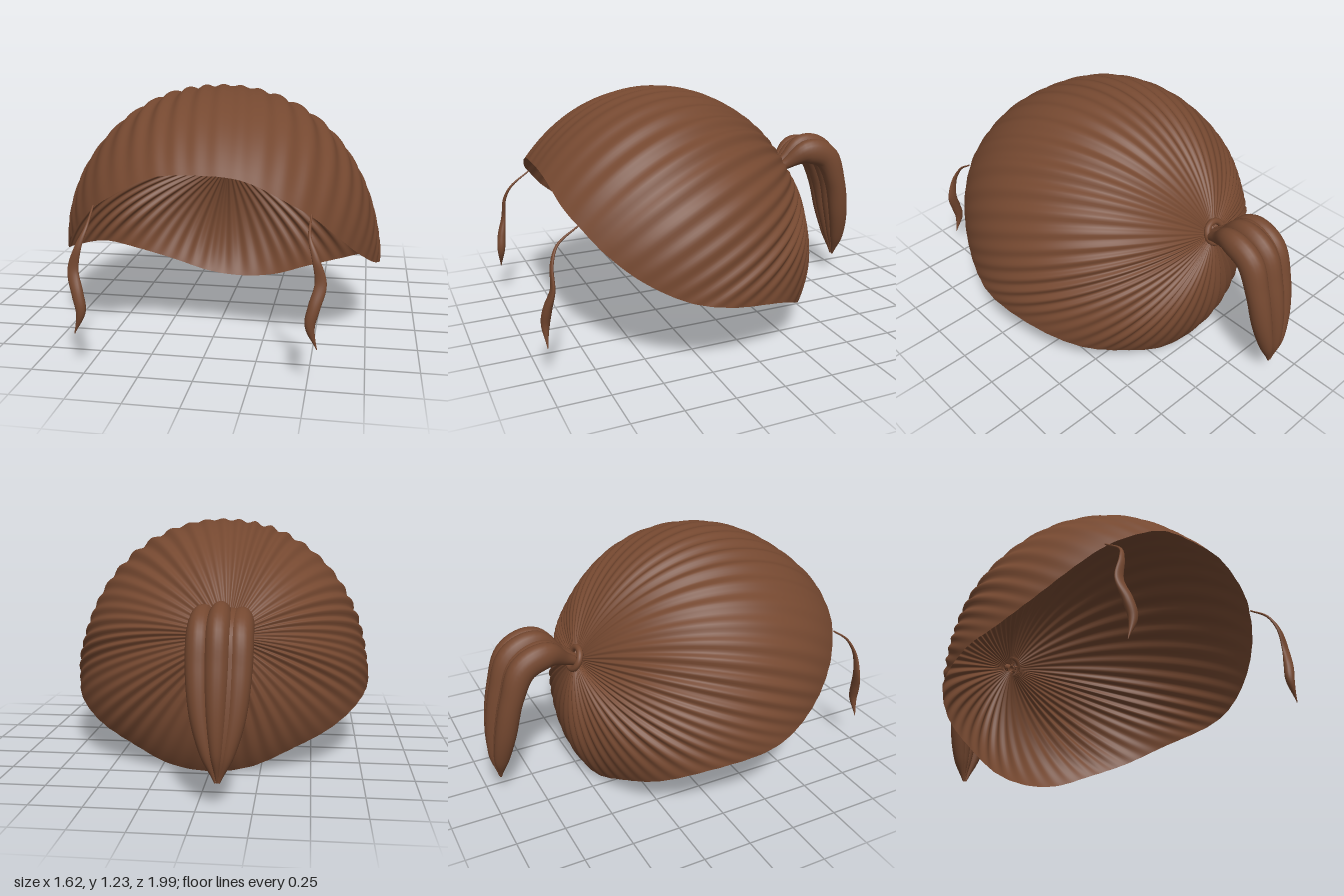
import * as THREE from 'three';

const V = (x, y, z) => new THREE.Vector3(x, y, z);
const hair = new THREE.MeshStandardMaterial({ color: 0x754830, side: THREE.DoubleSide });
hair.name = 'brown hair';

// Surface of rows x cols points, closed around the columns
function loopedGrid(rows, cols, pointAt) {
  const pos = [], idx = [];
  for (let i = 0; i <= rows; i++) {
    for (let j = 0; j < cols; j++) {
      const p = pointAt(i / rows, j / cols);
      pos.push(p.x, p.y, p.z);
      if (i === rows) continue;
      const a = i * cols + j, b = i * cols + (j + 1) % cols;
      idx.push(a, b, a + cols, b, b + cols, a + cols);
    }
  }
  const g = new THREE.BufferGeometry();
  g.setAttribute('position', new THREE.Float32BufferAttribute(pos, 3));
  g.setIndex(idx);
  g.computeVertexNormals();
  return g;
}

// Tapered lock with oval sections: widths run sideways, depths across
function lock(name, points, widths, depths) {
  const path = new THREE.CatmullRomCurve3(points);
  const sample = (list, t) => {
    const c = new THREE.SplineCurve(list.map((v, i) => new THREE.Vector2(i, v)));
    return Math.max(0.001, c.getPoint(t).y);
  };
  const g = loopedGrid(48, 20, (t, u) => {
    const T = path.getTangent(t);
    const B = T.clone().cross(V(1, 0, 0)).normalize();
    const S = B.clone().cross(T);
    const a = u * Math.PI * 2;
    return path.getPoint(t)
      .addScaledVector(S, sample(widths, t) * Math.cos(a))
      .addScaledVector(B, sample(depths, t) * Math.sin(a));
  });
  const m = new THREE.Mesh(g, hair);
  m.name = name;
  return m;
}

// Combed cap: meridians sweep from the tie over an ellipsoid to the hairline
function hairCap() {
  const centre = V(0, 0.35, 0.2), radii = V(0.815, 0.87, 0.77);
  const half = [
    [0.2, 0.89, 0.875], [0.4, 0.79, 0.84], [0.5, 0.72, 0.79], [0.6, 0.62, 0.71],
    [0.7, 0.5, 0.57], [0.78, 0.4, 0.38], [0.812, 0.355, 0.2], [0.74, 0.29, -0.12],
    [0.6, 0.2, -0.29], [0.4, 0.11, -0.39], [0.2, 0.03, -0.445],
  ];
  const hairline = new THREE.CatmullRomCurve3([
    V(0, 0.908, 0.88),
    ...half.map(([x, y, z]) => V(-x, y, z)),
    V(0, 0.005, -0.46),
    ...half.slice().reverse().map(([x, y, z]) => V(x, y, z)),
  ], true);
  hairline.arcLengthDivisions = 800;
  const toUnit = (p) => p.clone().sub(centre).divide(radii);
  const pole = toUnit(V(-0.09, 0.69, -0.5));
  const poleDir = pole.clone().normalize();
  const ribs = 52, cols = ribs * 8;
  const rim = Array.from({ length: cols }, (_, j) => toUnit(hairline.getPointAt(j / cols)));

  const g = loopedGrid(44, cols, (row, u) => {
    const t = 0.012 + 0.988 * row;
    const end = rim[Math.round(u * cols) % cols];
    const dir = end.clone().normalize();
    const angle = poleDir.angleTo(dir);
    const p = poleDir.clone().multiplyScalar(Math.sin((1 - t) * angle))
      .addScaledVector(dir, Math.sin(t * angle)).divideScalar(Math.sin(angle));
    // Uneven ribs that soften at the hairline
    const a = u * Math.PI * 2;
    const rib = Math.cos(ribs * a + 1.2 * Math.sin(5 * a)) * (0.75 + 0.25 * Math.sin(7 * a));
    const amp = 0.011 * Math.pow(Math.max(0, Math.sin(Math.PI * t)), 0.8) + 0.0015 * t;
    const size = THREE.MathUtils.lerp(pole.length(), end.length(), t ** 3);
    return p.multiplyScalar(size + rib * amp).multiply(radii).add(centre);
  });
  const m = new THREE.Mesh(g, hair);
  m.name = 'hairCap';
  return m;
}

function ponytail() {
  const group = new THREE.Group();
  group.name = 'ponytail';
  // Side profile as [y, z]; each lock spreads sideways and gathers at the tip
  const profile = [[0.69, -0.49], [0.745, -0.58], [0.815, -0.7], [0.775, -0.82],
    [0.62, -0.89], [0.42, -0.93], [0.25, -0.948], [0.12, -0.945]];
  const spread = [0.3, 0.55, 0.95, 1, 1, 0.85, 0.5, 0.1];
  const widths = [0.02, 0.03, 0.052, 0.06, 0.058, 0.048, 0.03, 0.004];
  const depths = [0.022, 0.035, 0.075, 0.078, 0.064, 0.06, 0.042, 0.006];
  const locks = [
    ['leftLock', 0.092, 0.01, 0.92], ['middleLock', 0.008, 0, 1],
    ['rightLock', -0.088, 0.02, 0.9], ['underLock', -0.045, 0.022, 0.85],
  ];
  for (const [name, offset, inward, scale] of locks) {
    const pts = profile.map(([y, z], i) =>
      V(-0.092 + offset * spread[i], y - inward * spread[i], z + inward * spread[i]));
    group.add(lock(name, pts, widths, depths.map((d) => d * scale)));
  }
  return group;
}

export function createModel() {
  const model = new THREE.Group();
  model.name = 'hair';
  model.add(hairCap(), ponytail());

  // Ring binding the ponytail
  const tie = new THREE.Mesh(new THREE.TorusGeometry(0.055, 0.017, 12, 40), hair);
  tie.name = 'hairTie';
  tie.position.set(-0.1, 0.705, -0.51);
  tie.quaternion.setFromUnitVectors(V(0, 0, 1), V(0, 0.42, -0.9).normalize());
  model.add(tie);

  // Wavy locks hanging in front of the face
  for (const [name, s] of [['leftFrontLock', 1], ['rightFrontLock', -1]]) {
    const pts = [[0.495, 0.735, 0.8], [0.497, 0.66, 0.9], [0.525, 0.58, 0.937],
      [0.55, 0.47, 0.945], [0.525, 0.37, 0.968], [0.51, 0.29, 0.978], [0.542, 0.185, 0.98]];
    model.add(lock(name, pts.map(([x, y, z]) => V(s * x, y, z)),
      [0.004, 0.008, 0.016, 0.026, 0.027, 0.022, 0.002],
      [0.004, 0.006, 0.008, 0.011, 0.021, 0.02, 0.002]));
  }
  return model;
}
